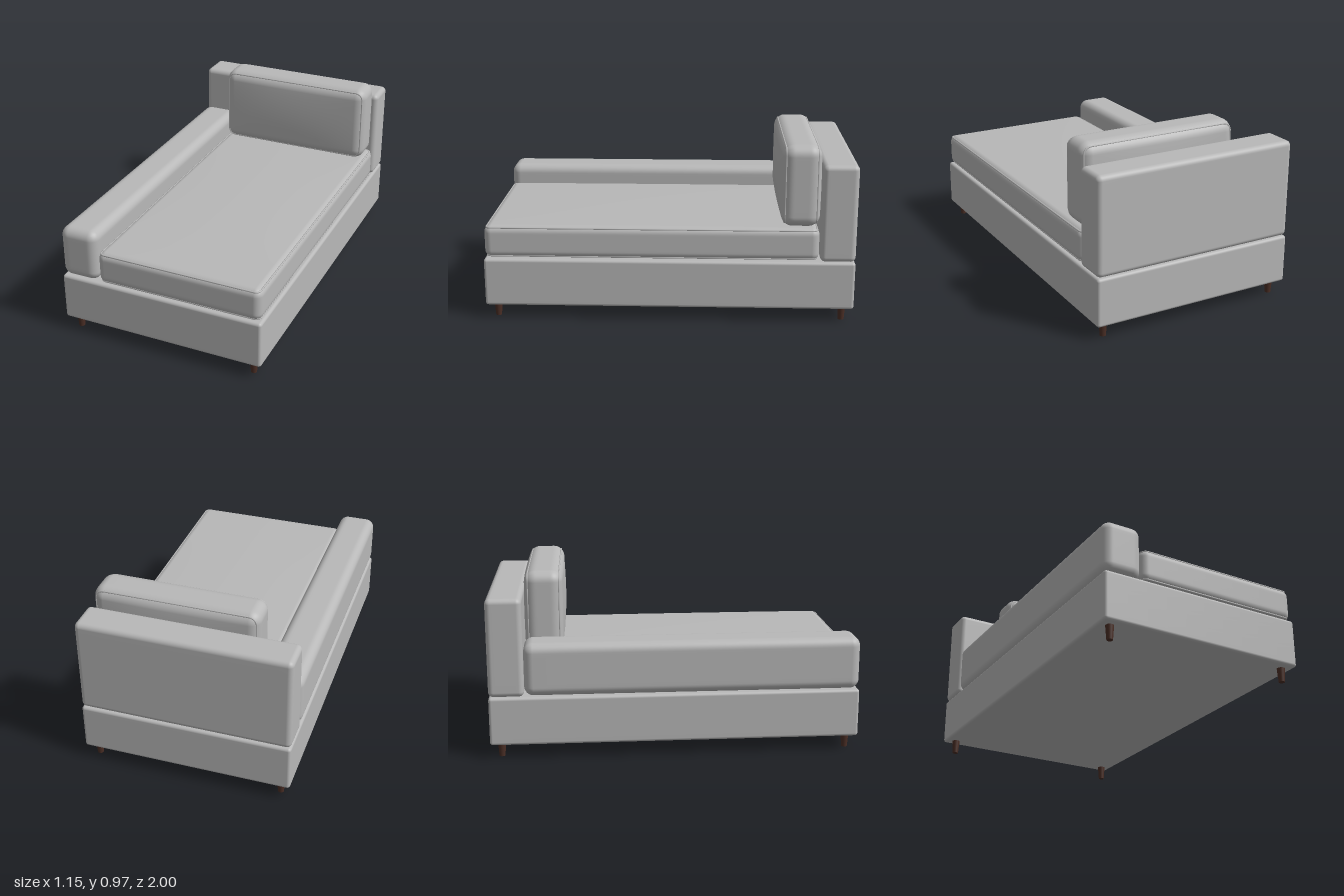
import * as THREE from 'three';
import { mergeVertices } from 'three/addons/utils/BufferGeometryUtils.js';

const fabric = new THREE.MeshStandardMaterial({ color: 0xb8b8b8 });
fabric.name = 'grey fabric';
const wood = new THREE.MeshStandardMaterial({ color: 0x4a2e25 });
wood.name = 'dark wood';

// Rounded block between two corners; bulge swells the faces along one axis
function softBox(name, min, max, r, bulgeAxis = null, bulge = 0) {
  const lo = new THREE.Vector3(...min), hi = new THREE.Vector3(...max);
  const half = hi.clone().sub(lo).multiplyScalar(0.5);
  let geo = new THREE.BoxGeometry(2, 2, 2, 20, 20, 20);
  geo.deleteAttribute('uv');
  geo.deleteAttribute('normal');
  geo = mergeVertices(geo);
  const pos = geo.attributes.position;
  const p = new THREE.Vector3(), round = new THREE.Vector3();
  for (let i = 0; i < pos.count; i++) {
    p.fromBufferAttribute(pos, i);
    // inner half of the grid spans the flat face, outer half the rounded edge
    for (const a of ['x', 'y', 'z']) {
      const c = p[a], m = Math.abs(c);
      round[a] = m > 0.5 ? Math.sign(c) * Math.tan((m - 0.5) * Math.PI / 2) : 0;
      p[a] = Math.sign(c) * Math.min(m * 2, 1) * (half[a] - r);
    }
    p.addScaledVector(round.normalize(), r);
    if (bulgeAxis) {
      let f = bulge * p[bulgeAxis] / half[bulgeAxis];
      for (const a of ['x', 'y', 'z']) if (a !== bulgeAxis) f *= 1 - (p[a] / half[a]) ** 2;
      p[bulgeAxis] += f;
    }
    pos.setXYZ(i, p.x, p.y, p.z);
  }
  geo.computeVertexNormals();
  const mesh = new THREE.Mesh(geo, fabric);
  mesh.name = name;
  mesh.position.copy(lo).add(hi).multiplyScalar(0.5);
  return mesh;
}

// Piping loop: a torus pulled apart into a rounded rectangle
function piping(w, h, r) {
  const geo = new THREE.TorusGeometry(r * Math.SQRT1_2, 0.005, 8, 32);
  geo.rotateZ(Math.PI / 32);
  const pos = geo.attributes.position;
  for (let i = 0; i < pos.count; i++) {
    pos.setX(i, pos.getX(i) + Math.sign(pos.getX(i)) * (w / 2 - r));
    pos.setY(i, pos.getY(i) + Math.sign(pos.getY(i)) * (h / 2 - r));
  }
  const mesh = new THREE.Mesh(geo, fabric);
  mesh.name = 'piping';
  return mesh;
}

// Swollen cushion with piping around both of its broad faces
function cushion(name, min, max, r, axis, bulge) {
  const group = new THREE.Group();
  group.name = name;
  const body = softBox(name + 'Body', min, max, r, axis, bulge);
  group.add(body);
  const [w, h, d] = max.map((v, i) => v - min[i]);
  const thickness = axis === 'y' ? h : d;
  for (const s of [-1, 1]) {
    const pipe = piping(w, axis === 'y' ? d : h, r);
    if (axis === 'y') pipe.rotation.x = Math.PI / 2;
    pipe.position.copy(body.position);
    pipe.position[axis] += s * (thickness / 2 - r * (1 - Math.SQRT1_2));
    group.add(pipe);
  }
  return group;
}

export function createModel() {
  const model = new THREE.Group();
  model.name = 'chaise';

  // Upholstered frame
  model.add(
    softBox('base', [-0.575, 0.076, -1], [0.575, 0.341, 1], 0.016),
    softBox('backrest', [-0.575, 0.343, -1], [0.575, 0.875, -0.81], 0.028),
    softBox('armrest', [-0.575, 0.342, -0.81], [-0.36, 0.63, 1], 0.05)
  );

  // Loose cushions
  model.add(
    cushion('seatCushion', [-0.357, 0.345, -0.805], [0.568, 0.525, 0.995], 0.04, 'y', 0.01),
    cushion('backCushion', [-0.345, 0.527, -0.805], [0.555, 0.972, -0.6], 0.06, 'z', 0.014)
  );

  // Tapered legs
  const legGeo = new THREE.CylinderGeometry(0.022, 0.016, 0.08, 20);
  for (const x of [-0.515, 0.515]) {
    for (const z of [-0.94, 0.94]) {
      const leg = new THREE.Mesh(legGeo, wood);
      leg.name = 'leg';
      leg.position.set(x, 0.04, z);
      model.add(leg);
    }
  }
  return model;
}
